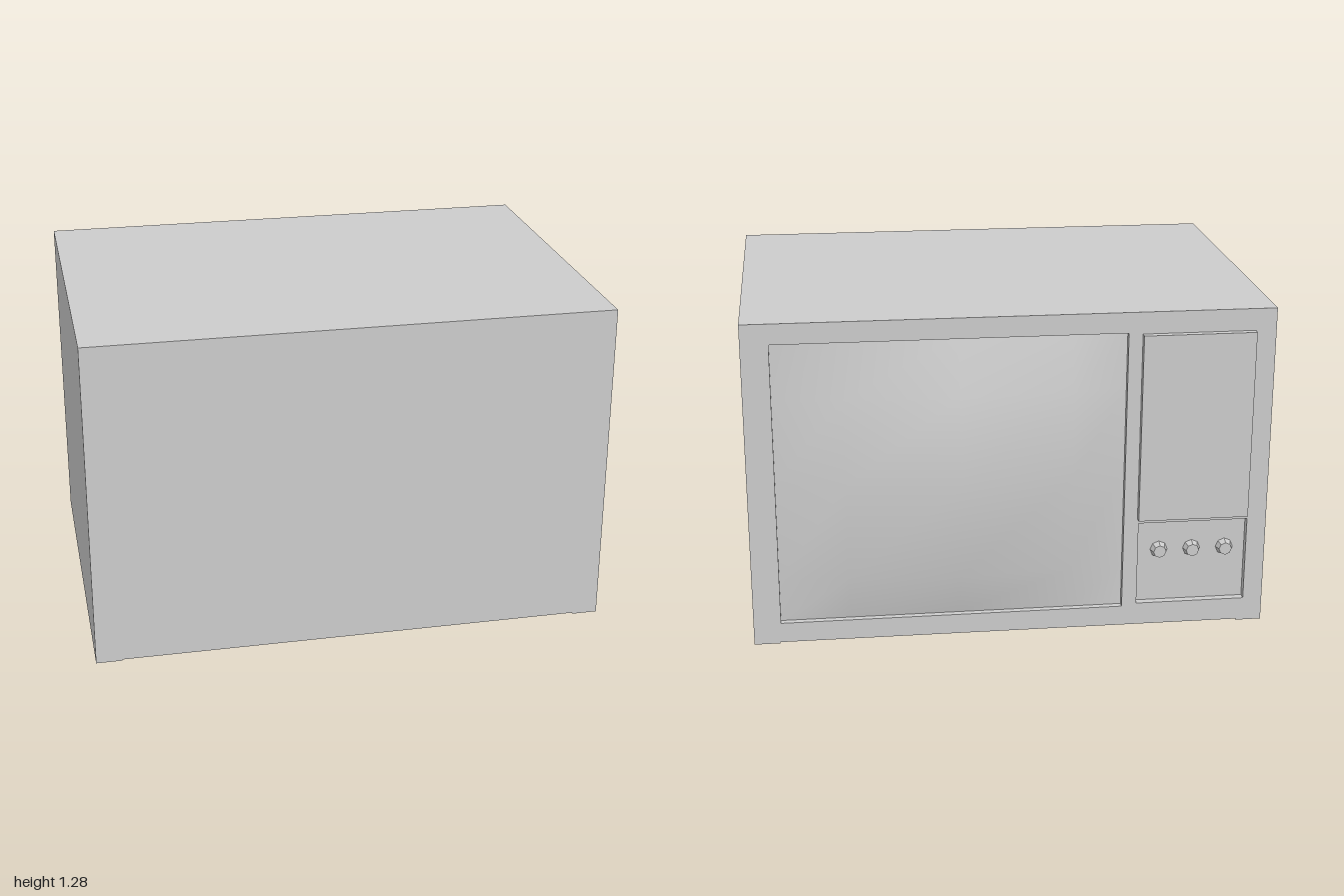
import * as THREE from 'three';

const material = new THREE.MeshStandardMaterial({ color: 0xcccccc });
const FACE = -0.655, FLOOR = -0.625, BACK = 0.755, TOP = 1.285, BASE = 0.005;

function add(group, name, geometry, mat = material) {
  const mesh = new THREE.Mesh(geometry, mat);
  mesh.name = name;
  group.add(mesh);
  return mesh;
}

// Box given by its two opposite corners
function box(x0, x1, y0, y1, z0, z1) {
  return new THREE.BoxGeometry(x1 - x0, y1 - y0, z1 - z0)
    .translate((x0 + x1) / 2, (y0 + y1) / 2, (z0 + z1) / 2);
}

function trace(path, x0, x1, y0, y1) {
  path.moveTo(x0, y0).lineTo(x1, y0).lineTo(x1, y1).lineTo(x0, y1).closePath();
  return path;
}

export function createModel() {
  const tv = new THREE.Group();
  tv.name = 'television';

  // Cabinet and the thin runners beneath it
  add(tv, 'cabinet', box(-1, 1, BASE, TOP, FLOOR, BACK));
  for (const side of [-1, 1]) {
    add(tv, 'runner', box(side * 0.95 - 0.05, side * 0.95 + 0.05, 0, BASE, FACE, BACK));
  }

  // Face frame with openings for the screen and the controls
  const frame = trace(new THREE.Shape(), -1, 1, BASE, TOP);
  frame.holes.push(
    trace(new THREE.Path(), -0.437, 0.895, 0.085, 1.205),
    trace(new THREE.Path(), -0.925, -0.495, 0.095, 0.435),
  );
  add(tv, 'faceFrame', new THREE.ExtrudeGeometry(frame, { depth: FLOOR - FACE, bevelEnabled: false })
    .translate(0, 0, FACE));

  // Bulging picture tube, a coarse grid with smooth normals
  const xs = [0.895, 0.63, 0.2, -0.23, -0.437];
  const ys = [1.205, 0.98, 0.655, 0.26, 0.085];
  const rise = [0, 0.48, 1, 0.48, 0];
  const screen = new THREE.PlaneGeometry(1, 1, 4, 4);
  const pos = screen.attributes.position;
  for (let i = 0; i < pos.count; i++) {
    const c = i % 5, r = Math.floor(i / 5);
    pos.setXYZ(i, xs[c], ys[r], -0.63 - 0.125 * rise[c] * rise[r]);
  }
  screen.computeVertexNormals();
  add(tv, 'screen', screen);

  // Raised speaker panel
  add(tv, 'speakerPanel', box(-0.92, -0.49, 0.455, 1.2, -0.682, FACE));

  // Three tapered knobs in the control recess
  const knobMaterial = material.clone();
  knobMaterial.flatShading = true;
  for (const x of [-0.584, -0.714, -0.845]) {
    const knob = add(tv, 'knob', new THREE.CylinderGeometry(0.025, 0.034, 0.028, 8), knobMaterial);
    knob.rotation.x = -Math.PI / 2;
    knob.position.set(x, 0.31, FLOOR - 0.014);
  }
  return tv;
}
